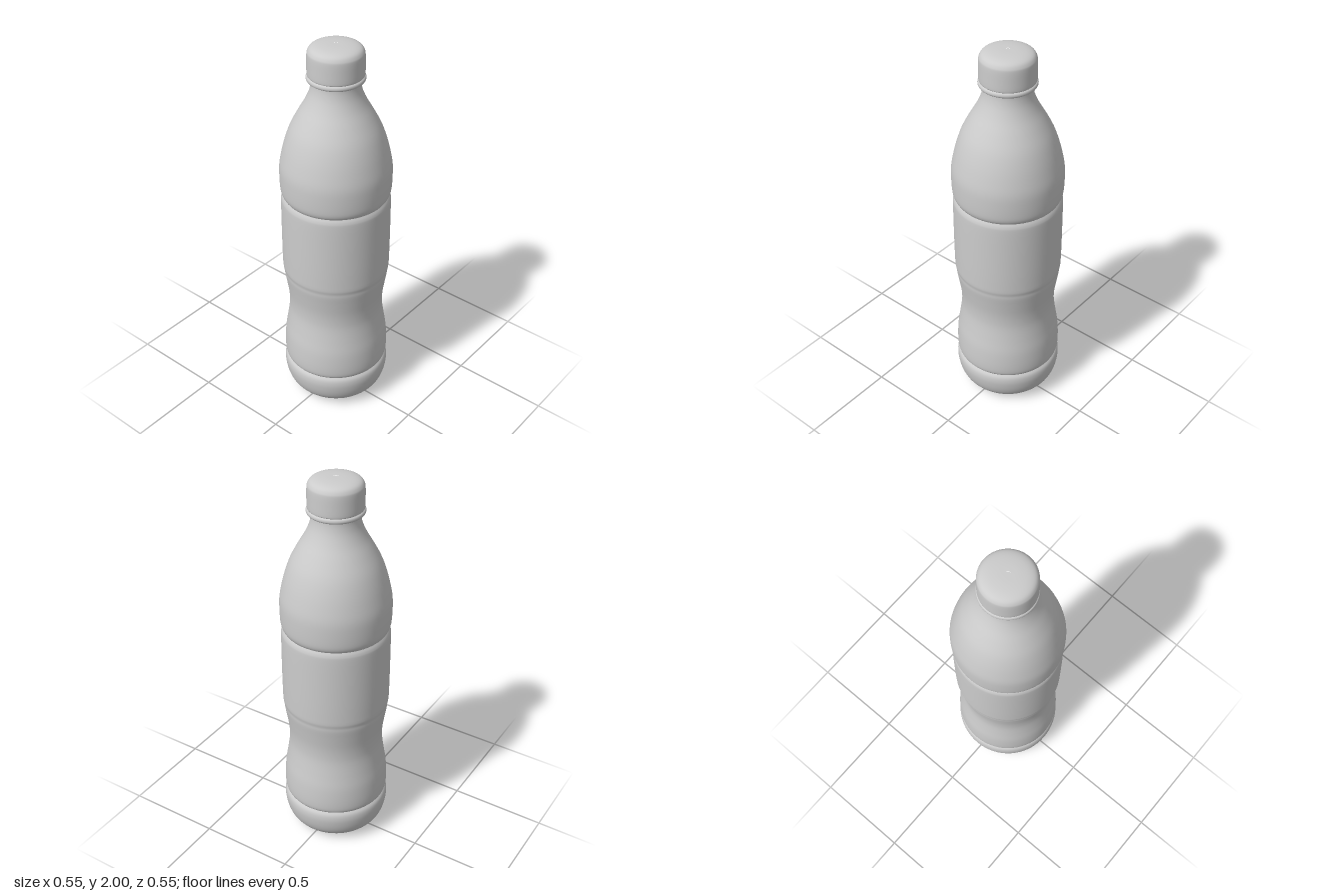
import * as THREE from 'three';

const SEGMENTS = 64;
const plastic = new THREE.MeshStandardMaterial({ color: 0xcccccc });
plastic.name = 'grey plastic';

// Smooth curve through [radius, height] points, listed from bottom to top
function smooth(points, divisions) {
  const curve = new THREE.SplineCurve(points.map(([r, y]) => new THREE.Vector2(r, y)));
  return curve.getPoints(divisions);
}

function turned(name, profile) {
  const mesh = new THREE.Mesh(new THREE.LatheGeometry(profile, SEGMENTS), plastic);
  mesh.name = name;
  return mesh;
}

export function createModel() {
  const bottle = new THREE.Group();
  bottle.name = 'bottle';

  // Shallow dished underside
  bottle.add(turned('underside', smooth([[0, 0.012], [0.08, 0.01], [0.135, 0.004], [0.15, 0.002]], 8)));

  // Rounded foot, up to the lower groove
  bottle.add(turned('foot', smooth([
    [0.15, 0.002], [0.185, 0.011], [0.222, 0.031], [0.25, 0.064], [0.266, 0.105],
    [0.274, 0.15], [0.274, 0.18], [0.269, 0.2], [0.259, 0.213],
  ], 28)));

  // Waisted grip with a faint bead under the label panel
  bottle.add(turned('grip', smooth([
    [0.259, 0.213], [0.267, 0.225], [0.271, 0.25], [0.271, 0.3], [0.266, 0.37],
    [0.255, 0.44], [0.245, 0.51], [0.242, 0.56], [0.245, 0.62], [0.255, 0.69],
    [0.264, 0.745], [0.266, 0.77], [0.27, 0.79], [0.271, 0.81],
  ], 48)));

  // Straight label panel, up to the upper groove
  bottle.add(turned('labelPanel', smooth([
    [0.271, 0.81], [0.272, 0.9], [0.272, 1.05], [0.271, 1.17], [0.268, 1.2], [0.26, 1.218],
  ], 24)));

  // Shoulder tapering into the neck
  bottle.add(turned('shoulder', smooth([
    [0.26, 1.218], [0.268, 1.233], [0.273, 1.26], [0.275, 1.32], [0.273, 1.38],
    [0.262, 1.44], [0.244, 1.51], [0.219, 1.58], [0.183, 1.65], [0.149, 1.71],
    [0.127, 1.76], [0.117, 1.8], [0.115, 1.83],
  ], 48)));

  // Tamper ring below the cap
  bottle.add(turned('capRing', smooth([
    [0.113, 1.824], [0.132, 1.825], [0.139, 1.833], [0.138, 1.844], [0.132, 1.85],
  ], 14)));

  // Cap with a rounded rim and nearly flat top
  bottle.add(turned('cap', smooth([
    [0.132, 1.85], [0.135, 1.858], [0.135, 1.9], [0.134, 1.95], [0.13, 1.968],
    [0.117, 1.984], [0.09, 1.994], [0.05, 1.999], [0.012, 2],
  ], 32)));

  // Small moulding mark in the centre of the cap
  const mark = new THREE.Mesh(new THREE.CylinderGeometry(0.012, 0.012, 0.004, 24), plastic);
  mark.name = 'mouldMark';
  mark.position.y = 1.996;
  bottle.add(mark);

  return bottle;
}
